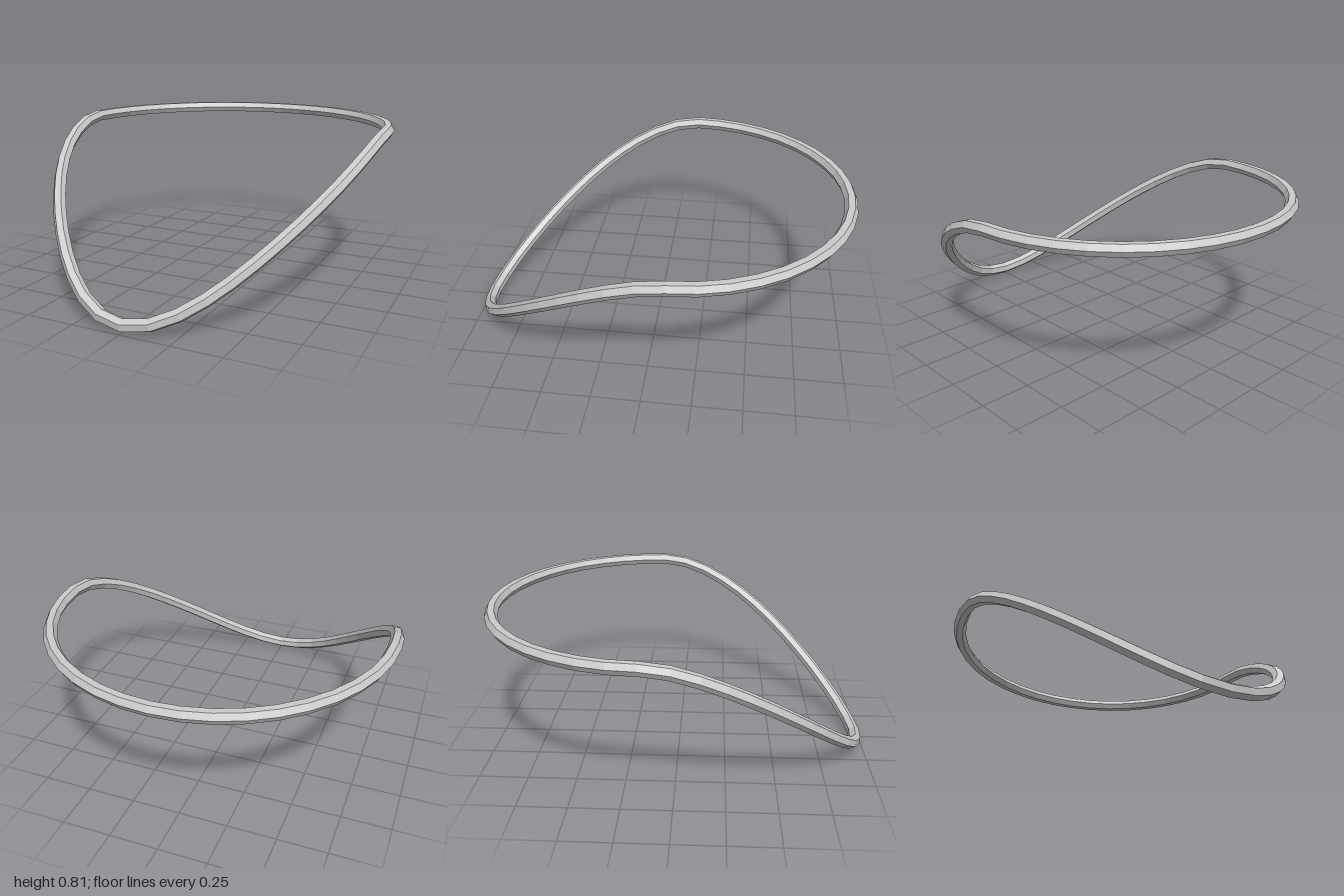
import * as THREE from 'three';

// Closed egg-shaped loop: flat half circle at the back, drooping to a low point at the front
class LoopCurve extends THREE.Curve {
  getPoint(t, target = new THREE.Vector3()) {
    const a = t * Math.PI * 2;
    const s = Math.sin(a);
    const c = -Math.cos(a); // -1 at the back, +1 at the front
    if (c <= 0) return target.set(0.857 * s, 0.78, -0.12 + 0.847 * c);
    const f = Math.max(0, c - 0.2 * s * s * c * c); // narrows the front half
    return target.set(0.857 * s, 0.78 - 0.745 * Math.pow(f, 1.65), -0.12 + 1.09 * f);
  }

  // Quarter turn of the frames, so the bar's edges point inward and outward at the back
  computeFrenetFrames(segments, closed) {
    const { tangents, normals, binormals } = super.computeFrenetFrames(segments, closed);
    return { tangents, normals: binormals, binormals: normals.map((n) => n.clone().negate()) };
  }
}

export function createModel() {
  const group = new THREE.Group();
  group.name = 'bentLoop';

  // Six-sided bar swept round the loop
  const bar = new THREE.Mesh(
    new THREE.TubeGeometry(new LoopCurve(), 46, 0.033, 6, true),
    new THREE.MeshStandardMaterial({ color: 0xcccccc, flatShading: true })
  );
  bar.name = 'hexagonalBar';
  group.add(bar);

  return group;
}
